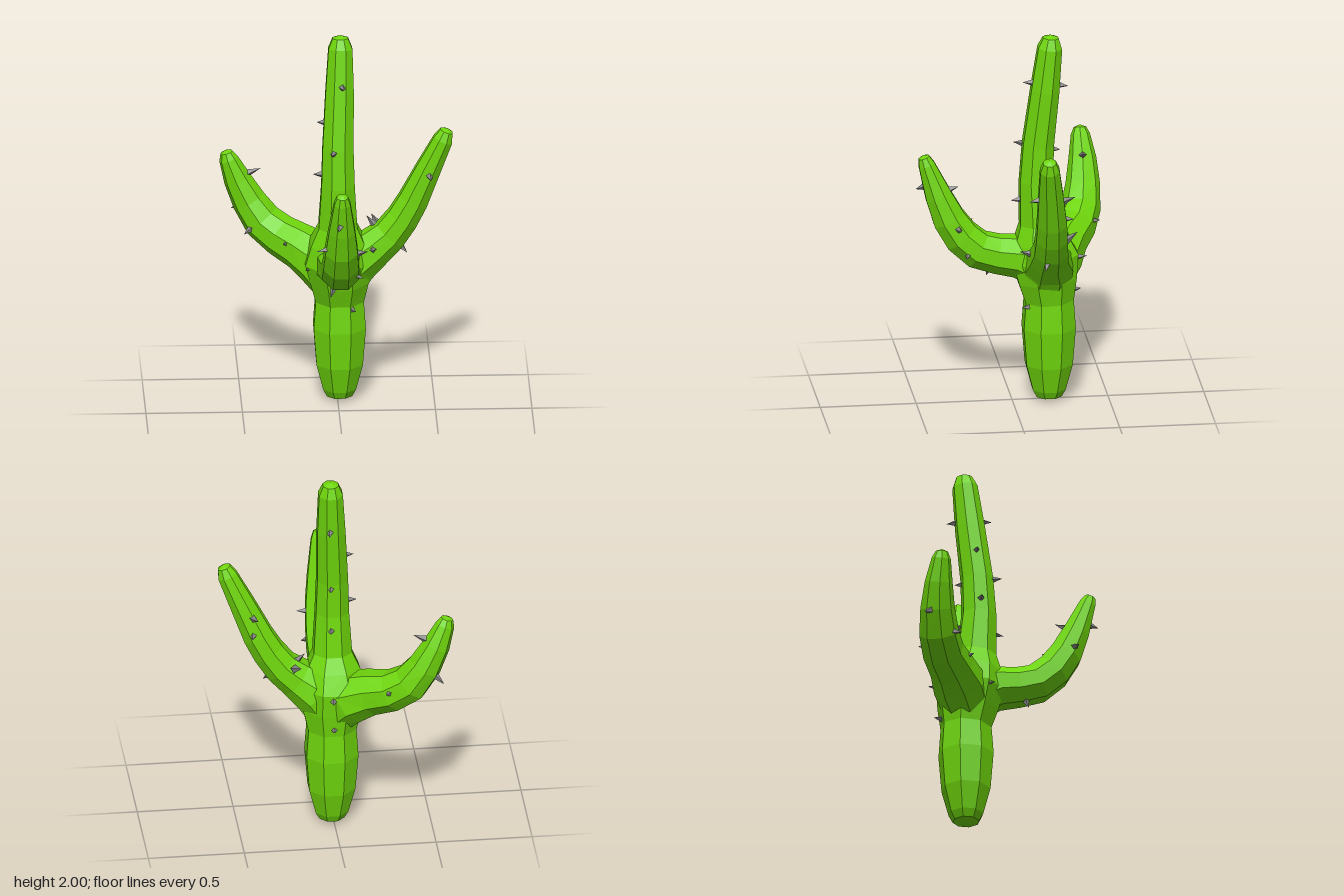
import * as THREE from 'three';

const SIDES = 8;
const V = (x, y, z) => new THREE.Vector3(x, y, z);

// Each limb: hinge axis of its bend, then rows of [x, y, z, radius]
const LIMBS = {
  trunkAndStem: {
    side: [1, 0, 0],
    path: [
      [0.01, 0, -0.19, 0], [0.01, 0.02, -0.19, 0.065], [0.01, 0.06, -0.19, 0.085], [0.01, 0.2, -0.19, 0.12],
      [0.01, 0.4, -0.19, 0.135], [0.01, 0.55, -0.19, 0.125], [0.01, 0.66, -0.18, 0.15], [0, 0.78, -0.17, 0.17],
      [0, 0.88, -0.15, 0.14], [0, 0.97, -0.14, 0.1], [0, 1.2, -0.125, 0.086], [0, 1.4, -0.135, 0.08],
      [0.01, 1.7, -0.17, 0.073], [0.015, 1.93, -0.195, 0.062], [0.015, 1.985, -0.2, 0.04], [0.015, 2, -0.2, 0],
    ],
  },
  frontArm: {
    side: [1, 0, 0],
    path: [
      [0, 0.72, -0.2, 0], [0, 0.74, -0.15, 0.12], [0, 0.79, -0.03, 0.108], [0, 0.805, 0.08, 0.098],
      [0, 0.835, 0.18, 0.096], [0, 0.91, 0.265, 0.092], [0, 1.01, 0.33, 0.084], [0, 1.14, 0.385, 0.068],
      [0, 1.31, 0.446, 0.042], [0, 1.35, 0.46, 0.028], [0, 1.362, 0.464, 0],
    ],
  },
  leftArm: {
    side: [0.04, 0, -1],
    path: [
      [0, 0.62, -0.18, 0], [0.02, 0.66, -0.18, 0.12], [0.09, 0.77, -0.18, 0.125], [0.19, 0.84, -0.17, 0.1],
      [0.27, 0.91, -0.17, 0.088], [0.335, 1.0, -0.165, 0.082], [0.39, 1.1, -0.16, 0.077], [0.47, 1.28, -0.145, 0.064],
      [0.545, 1.445, -0.13, 0.05], [0.563, 1.492, -0.127, 0.033], [0.568, 1.505, -0.126, 0],
    ],
  },
  rightArm: {
    side: [-0.5, 0, 0.87],
    path: [
      [0, 0.62, -0.18, 0], [-0.02, 0.66, -0.19, 0.12], [-0.09, 0.75, -0.24, 0.132], [-0.19, 0.8, -0.3, 0.112],
      [-0.29, 0.84, -0.365, 0.102], [-0.38, 0.905, -0.405, 0.096], [-0.45, 1.01, -0.425, 0.083],
      [-0.51, 1.13, -0.43, 0.067], [-0.556, 1.245, -0.425, 0.046], [-0.566, 1.28, -0.424, 0.03], [-0.57, 1.292, -0.424, 0],
    ],
  },
};

// Tips of the thorns, grouped by the limb they grow from
const THORNS = {
  trunkAndStem: [
    [0.03, 1.75, -0.05], [0.03, 1.72, -0.29], [-0.04, 1.4, -0.01], [0.02, 1.37, -0.25], [-0.11, 1.54, -0.15],
    [-0.13, 1.26, -0.13], [0.02, 1.1, 0.01], [0.02, 1.13, -0.26], [0.02, 0.78, -0.39], [0.01, 0.6, -0.36], [0.09, 0.53, -0.04],
  ],
  frontArm: [
    [-0.02, 1.17, 0.5], [0.02, 1.19, 0.28], [-0.13, 1.02, 0.38], [0.14, 0.98, 0.28],
    [-0.04, 0.99, 0.2], [0.12, 0.82, 0.25], [-0.05, 0.67, 0.13],
  ],
  leftArm: [
    [0.48, 1.25, -0.03], [0.4, 1.24, -0.28], [0.43, 1.13, -0.27], [0.36, 0.82, -0.13],
    [0.17, 0.87, -0.02], [0.15, 1.0, -0.21], [0.18, 0.97, -0.32],
  ],
  rightArm: [
    [-0.39, 1.19, -0.42], [-0.54, 0.94, -0.51], [-0.48, 0.87, -0.3], [-0.28, 0.85, -0.2],
    [-0.24, 0.88, -0.49], [-0.17, 0.75, -0.07],
  ],
};

// Eight-sided skin over a row of cross-sections
function limbGeometry({ side, path }) {
  const pts = path.map(([x, y, z]) => V(x, y, z));
  const last = pts.length - 1;
  const pos = [], index = [];
  pts.forEach((p, i) => {
    const t = pts[Math.min(i + 1, last)].clone().sub(pts[Math.max(i - 1, 0)]).normalize();
    const u = V(...side);
    u.addScaledVector(t, -u.dot(t)).normalize();
    const v = t.clone().cross(u);
    const r = path[i][3] / Math.cos(Math.PI / SIDES);
    for (let j = 0; j < SIDES; j++) {
      const a = ((j + 0.5) / SIDES) * Math.PI * 2;
      const q = p.clone().addScaledVector(u, r * Math.cos(a)).addScaledVector(v, r * Math.sin(a));
      pos.push(q.x, q.y, q.z);
    }
  });
  for (let i = 0; i < last; i++) {
    for (let j = 0; j < SIDES; j++) {
      const k = (j + 1) % SIDES;
      const a = i * SIDES + j, b = i * SIDES + k, c = b + SIDES, d = a + SIDES;
      if (path[i][3] > 0) index.push(a, b, c);
      if (path[i + 1][3] > 0) index.push(a, c, d);
    }
  }
  // The first and last rings are points, so they close with single triangles
  const g = new THREE.BufferGeometry();
  g.setAttribute('position', new THREE.Float32BufferAttribute(pos, 3));
  g.setIndex(index);
  g.computeVertexNormals();
  return g;
}

// Nearest point on the limb's centre line, with the limb's radius there
function nearestOnPath(path, tip) {
  let best = { d: Infinity };
  for (let i = 0; i < path.length - 1; i++) {
    const [a, b] = [path[i], path[i + 1]];
    const line = new THREE.Line3(V(a[0], a[1], a[2]), V(b[0], b[1], b[2]));
    const s = line.closestPointToPointParameter(tip, true);
    const point = line.at(s, V(0, 0, 0));
    const d = point.distanceTo(tip);
    if (d < best.d) best = { d, point, radius: a[3] + (b[3] - a[3]) * s };
  }
  return best;
}

export function createModel() {
  const model = new THREE.Group();
  model.name = 'cactus';
  const green = new THREE.MeshStandardMaterial({ color: 0x6fd60c, flatShading: true });
  const grey = new THREE.MeshStandardMaterial({ color: 0x888888, flatShading: true });

  // Four-sided thorn with its tip at the origin, pointing up
  const thornGeometry = new THREE.ConeGeometry(0.023, 1, 4).translate(0, -0.5, 0);

  for (const [name, limb] of Object.entries(LIMBS)) {
    const body = new THREE.Mesh(limbGeometry(limb), green);
    body.name = name;
    model.add(body);

    for (const tip of THORNS[name]) {
      const end = V(...tip);
      const { d, point, radius } = nearestOnPath(limb.path, end);
      const thorn = new THREE.Mesh(thornGeometry, grey);
      thorn.name = 'thorn';
      thorn.position.copy(end);
      thorn.scale.y = THREE.MathUtils.clamp(d - radius + 0.015, 0.055, 0.08);
      thorn.quaternion.setFromUnitVectors(V(0, 1, 0), end.clone().sub(point).normalize());
      model.add(thorn);
    }
  }
  return model;
}
